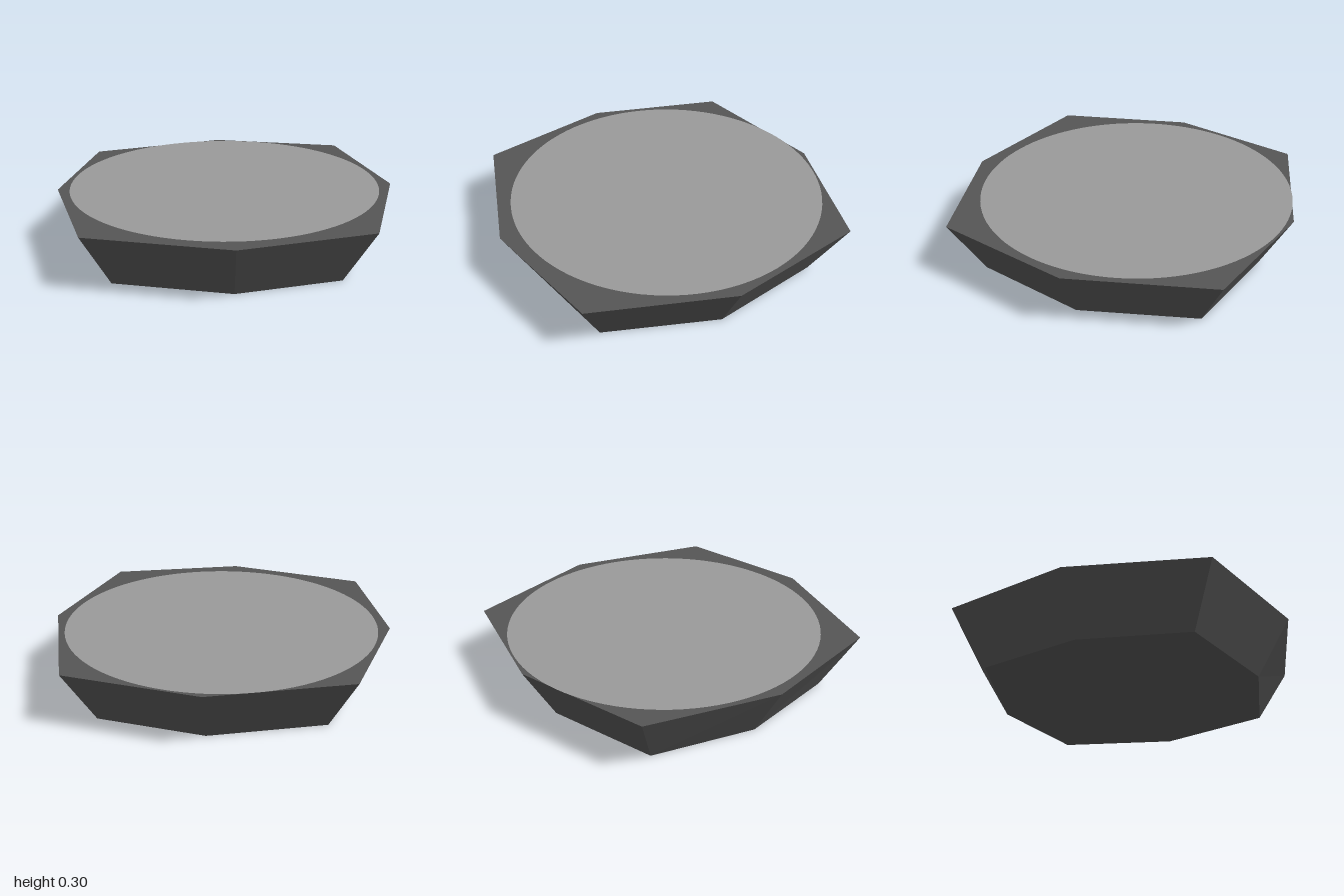
import * as THREE from 'three';

const HEIGHT = 0.295;

// Irregular octagon as [x, z], clockwise seen from above
const TOP = [[-0.025, -1], [0.62, -0.62], [0.98, 0.025], [0.62, 0.625],
  [-0.025, 0.995], [-0.625, 0.625], [-0.98, 0.025], [-0.625, -0.62]];
const BOTTOM = [[-0.025, -0.805], [0.5, -0.5], [0.79, 0.03], [0.5, 0.5],
  [-0.025, 0.805], [-0.5, 0.5], [-0.79, 0.03], [-0.5, -0.5]];

// Closed solid between two rings of equal length, with flat faces
function makeFrustum(bottom, top, height) {
  const position = [];
  const n = top.length;
  for (let i = 0; i < n; i++) {
    const j = (i + 1) % n;
    const [bi, bj] = [bottom[i], bottom[j]].map(([x, z]) => [x, 0, z]);
    const [ti, tj] = [top[i], top[j]].map(([x, z]) => [x, height, z]);
    position.push(...bj, ...bi, ...ti, ...bj, ...ti, ...tj); // side
    position.push(0, height, 0, ...tj, ...ti); // top cap
    position.push(0, 0, 0, ...bi, ...bj); // bottom cap
  }
  const geometry = new THREE.BufferGeometry();
  geometry.setAttribute('position', new THREE.Float32BufferAttribute(position, 3));
  geometry.computeVertexNormals();
  return geometry;
}

export function createModel() {
  const darkGrey = new THREE.MeshStandardMaterial({ name: 'darkGrey', color: 0x555555 });
  const lightGrey = new THREE.MeshStandardMaterial({ name: 'lightGrey', color: 0x9a9a9a });

  const model = new THREE.Group();
  model.name = 'octagonalDish';

  // Tapered eight-sided body
  const body = new THREE.Mesh(makeFrustum(BOTTOM, TOP, HEIGHT), darkGrey);
  body.name = 'body';

  // Round inlay, nearly flush with the top
  const inlay = new THREE.Mesh(new THREE.CircleGeometry(0.815, 96).rotateX(-Math.PI / 2), lightGrey);
  inlay.name = 'topInlay';
  inlay.position.set(-0.03, HEIGHT + 0.002, -0.02);

  model.add(body, inlay);
  return model;
}
